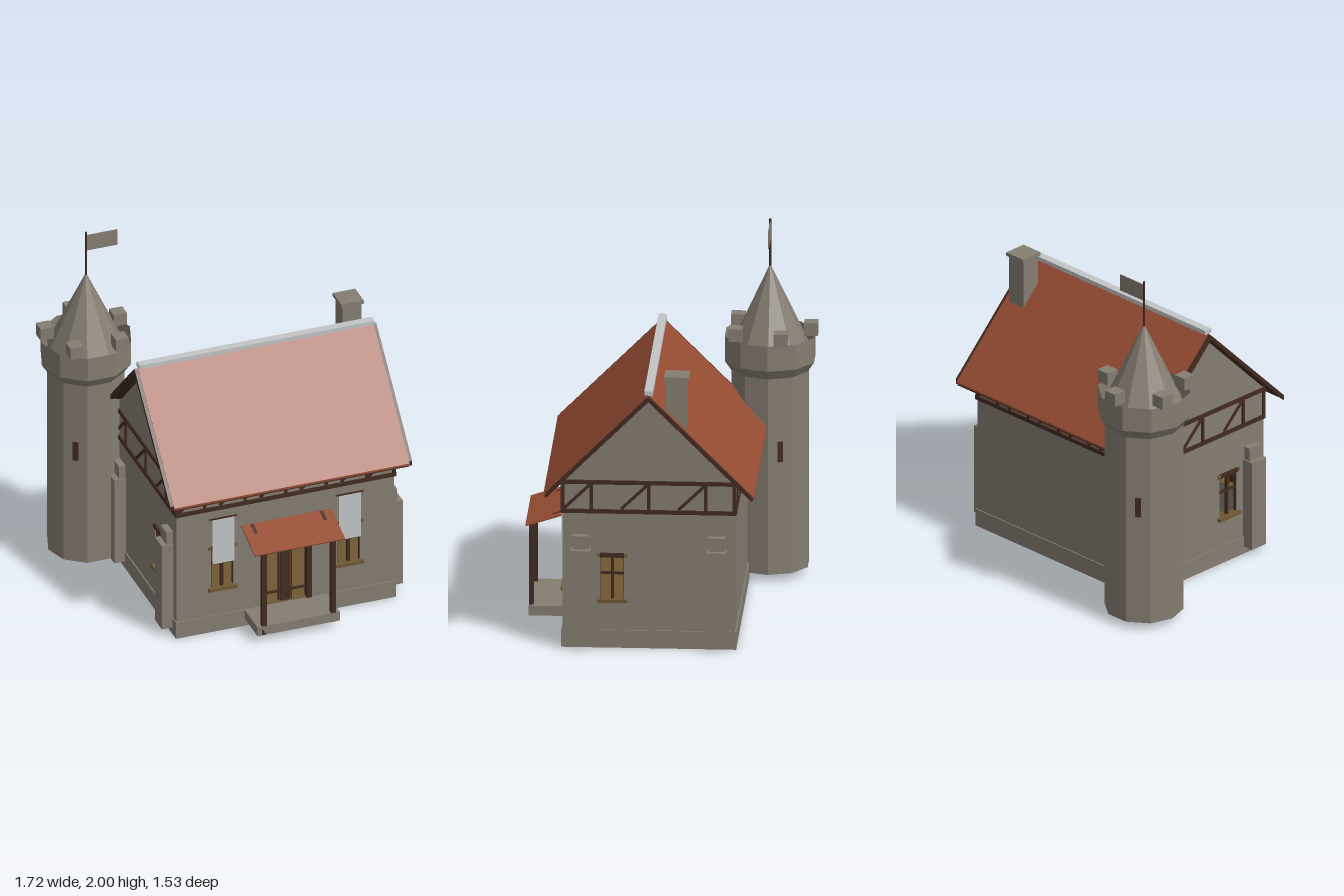
import * as THREE from 'three';

const mat = (name, color, side = THREE.FrontSide) => {
  const m = new THREE.MeshStandardMaterial({ color, side });
  m.name = name;
  return m;
};

export function createModel() {
  const model = new THREE.Group();
  model.name = 'cottageWithTower';
  const stone = mat('stone', 0x857d72);
  const shell = mat('towerStone', 0x857d72, THREE.DoubleSide);
  shell.flatShading = true;
  const tile = mat('roofTile', 0x964c33);
  const wood = mat('darkWood', 0x422a1f);
  const lightWood = mat('lightWood', 0x705732);
  const pale = mat('paleGrey', 0xc3c4c6);

  const add = (name, geo, m, parent = model) => {
    const mesh = new THREE.Mesh(geo, m);
    mesh.name = name;
    parent.add(mesh);
    return mesh;
  };
  // Box given by its minimum and maximum on each axis
  const box = (name, m, x0, x1, y0, y1, z0, z1, parent = model) => {
    const mesh = add(name, new THREE.BoxGeometry(x1 - x0, y1 - y0, z1 - z0), m, parent);
    mesh.position.set((x0 + x1) / 2, (y0 + y1) / 2, (z0 + z1) / 2);
    return mesh;
  };
  const group = (name, x = 0, y = 0, z = 0, turn = 0) => {
    const g = new THREE.Group();
    g.name = name;
    g.position.set(x, y, z);
    g.rotation.y = turn;
    model.add(g);
    return g;
  };
  const poly = (pts) => new THREE.Shape(pts.map(([x, y]) => new THREE.Vector2(x, y)));
  const hole = (shape, x0, x1, y0, y1) =>
    shape.holes.push(poly([[x0, y0], [x0, y1], [x1, y1], [x1, y0]]));
  const extrude = (shape, depth) => new THREE.ExtrudeGeometry(shape, { depth, bevelEnabled: false });
  // Extrudes a (z, y) profile from x0 to x1
  const across = (name, shape, m, x0, x1) => {
    const mesh = add(name, extrude(shape, x1 - x0), m);
    mesh.rotation.y = -Math.PI / 2;
    mesh.position.x = x1;
  };

  const X0 = -0.47, X1 = 0.785, Z0 = -0.395, Z1 = 0.54, CZ = 0.07;

  // Thin hollow plinth and floor
  const out = 0.007, inn = 0.005;
  box('plinthFront', stone, X0 - out, X1 + out, 0, 0.1, Z1 - inn, Z1 + out);
  box('plinthBack', stone, X0 - out, X1 + out, 0, 0.1, Z0 - out, Z0 + inn);
  box('plinthLeft', stone, X1 - inn, X1 + out, 0, 0.1, Z0 + inn, Z1 - inn);
  box('plinthRight', stone, X0 - out, X0 + inn, 0, 0.1, Z0 + inn, Z1 - inn);
  box('floor', lightWood, X0 + 0.002, X1 - 0.002, 0.094, 0.106, Z0 + 0.002, Z1 - 0.002);

  // Walls with door and window openings
  const front = poly([[X0, 0.1], [X1, 0.1], [X1, 0.94], [X0, 0.94]]);
  hole(front, 0.03, 0.295, 0.101, 0.515);
  const frontWindows = [-0.207, 0.523];
  frontWindows.forEach((x) => hole(front, x - 0.065, x + 0.065, 0.27, 0.525));
  add('frontWall', extrude(front, 0.03), stone).position.z = Z1 - 0.03;
  box('backWall', stone, X0, X1, 0.1, 0.94, Z0, Z0 + 0.03);
  const sideZ = 0.27;
  [[X1 - 0.03, X1], [X0, X0 + 0.03]].forEach(([a, b]) => {
    const gable = poly([[Z0, 0.1], [Z1, 0.1], [Z1, 0.945], [CZ, 1.418], [Z0, 0.947]]);
    hole(gable, sideZ - 0.065, sideZ + 0.065, 0.27, 0.525);
    across('gableWall', gable, stone, a, b);
  });

  // Windows
  const addWindow = (x, z, turn) => {
    const g = group('window', x, 0, z, turn);
    box('sill', lightWood, -0.082, 0.082, 0.258, 0.275, -0.03, 0.02, g);
    box('lintel', lightWood, -0.082, 0.082, 0.515, 0.533, -0.01, 0.009, g);
    box('frameTop', wood, -0.065, 0.065, 0.513, 0.537, -0.02, 0.011, g);
    box('mullion', wood, -0.008, 0.008, 0.275, 0.515, -0.02, -0.005, g);
    box('glazingBar', wood, -0.065, 0.065, 0.414, 0.426, -0.02, -0.005, g);
    for (const s of [-1, 1])
      box('frameSide', wood, s * 0.063 - 0.002, s * 0.063 + 0.002, 0.275, 0.515, -0.02, -0.005, g);
  };
  frontWindows.forEach((x) => addWindow(x, Z1, 0));
  addWindow(X1, sideZ, Math.PI / 2);
  addWindow(X0, sideZ, -Math.PI / 2);

  // Banners hanging over the front windows
  frontWindows.forEach((x) => {
    box('banner', pale, x - 0.062, x + 0.065, 0.43, 0.713, 0.552, 0.555);
    box('bannerRod', wood, x - 0.08, x + 0.08, 0.71, 0.717, 0.55, 0.557);
  });

  // Glazed double door
  box('doorLintel', wood, 0.01, 0.312, 0.505, 0.535, Z1 - 0.03, 0.55);
  [[0.014, 0.045], [0.278, 0.307]].forEach(([a, b]) =>
    box('doorJamb', wood, a, b, 0.1, 0.505, Z1 - 0.03, 0.548));
  box('doorMeetingStile', wood, 0.132, 0.187, 0.1, 0.505, 0.515, 0.535);
  [0.12, 0.194].forEach((x) => box('doorStile', wood, x, x + 0.005, 0.1, 0.505, 0.518, 0.53));
  [0.16, 0.436, 0.494].forEach((y) => box('doorRail', wood, 0.045, 0.278, y, y + 0.011, 0.518, 0.53));

  // Stepped buttresses on both sides
  [[X1, 1], [X0, -1]].forEach(([x, s]) => [0.439, -0.298].forEach((z) => {
    const step = (name, reach, y0, y1, half) =>
      box(name, stone, Math.min(x, x + s * reach), Math.max(x, x + s * reach), y0, y1, z - half, z + half);
    step('buttressLower', 0.068, 0.042, 0.565, 0.054);
    step('buttressUpper', 0.038, 0.565, 0.64, 0.045);
  }));

  // Timber framing band: beams, posts and braces on one wall
  const timberBand = (name, x, z, turn, half, posts) => {
    const g = group(name, x, 0, z, turn);
    [[0.763, 0.785], [0.928, 0.95]].forEach(([a, b]) => box('beam', wood, -half, half, a, b, -0.008, 0.01, g));
    const post = (p) => box('post', wood, p - 0.009, p + 0.009, 0.785, 0.928, -0.008, 0.009, g);
    const brace = (p) => {
      const b = box('brace', wood, -0.098, 0.098, -0.008, 0.008, -0.007, 0.007, g);
      b.position.set(p - 0.078, 0.857, 0);
      b.rotation.z = 0.77;
    };
    [-half + 0.009, ...posts, half - 0.009].forEach(post);
    posts.forEach(brace);
    if (posts.length > 3) brace(half - 0.009);
  };
  const midX = (X0 + X1) / 2, midZ = (Z0 + Z1) / 2;
  const longPosts = [-0.467, -0.233, 0, 0.233, 0.467];
  const sidePosts = [-0.31, 0, 0.31];
  timberBand('frontTimbers', midX, Z1, 0, 0.634, longPosts);
  timberBand('backTimbers', midX, Z0, Math.PI, 0.634, longPosts);
  timberBand('leftTimbers', X1, midZ, Math.PI / 2, 0.474, sidePosts);
  timberBand('rightTimbers', X0, midZ, -Math.PI / 2, 0.474, sidePosts);

  // Gabled roof with timber soffit, barge boards and ridge cap
  const chevron = (half, top, t) => poly([
    [CZ - half, top - half], [CZ - half, top - half - t], [CZ, top - t],
    [CZ + half, top - half - t], [CZ + half, top - half], [CZ, top]]);
  across('roofTiles', chevron(0.57, 1.454, 0.012), tile, -0.52, 0.838);
  across('roofSoffit', chevron(0.564, 1.442, 0.016), wood, -0.52, 0.838);
  across('bargeBoard', chevron(0.558, 1.45, 0.029), wood, 0.838, 0.856);
  across('bargeBoard', chevron(0.558, 1.45, 0.029), wood, -0.54, -0.52);
  box('ridgeCap', pale, -0.518, 0.838, 1.452, 1.476, CZ - 0.023, CZ + 0.023);

  // Chimney
  box('chimney', stone, 0.695, 0.805, 1.175, 1.535, -0.133, -0.022);
  box('chimneyCap', stone, 0.685, 0.815, 1.53, 1.55, -0.145, -0.012);

  // Porch
  box('porchStep', stone, -0.08, 0.395, 0.045, 0.1, Z1, 0.745);
  const slope = Math.atan2(0.07, 0.215);
  const porchRoof = box('porchRoof', tile, -0.1, 0.42, -0.004, 0.004, -0.113, 0.113);
  porchRoof.position.set(0.16, 0.598, 0.653);
  porchRoof.rotation.x = slope;
  [-0.04, 0.36].forEach((x) => {
    box('porchPost', wood, x - 0.014, x + 0.014, 0.045, 0.565, 0.72, 0.745);
    const rafter = box('porchRafter', wood, x - 0.009, x + 0.009, -0.009, 0.009, -0.102, 0.102);
    rafter.position.set(x, 0.594, 0.645);
    rafter.rotation.x = slope + 0.04;
  });

  // Ten-sided tower, open below, with an open flared crown
  const tower = group('tower', -0.605, 0, -0.507);
  const profile = [[0.217, 0.042], [0.217, 1.155], [0.254, 1.21], [0.254, 1.352]];
  add('towerBody', new THREE.LatheGeometry(profile.map(([r, y]) => new THREE.Vector2(r, y)), 10),
    shell, tower).rotation.y = Math.PI / 2;
  const spire = add('towerSpire', new THREE.ConeGeometry(0.218, 0.465, 10), shell, tower);
  spire.position.y = 1.28 + 0.465 / 2;
  spire.rotation.y = Math.PI / 2;
  for (let i = 0; i < 5; i++) {
    const a = -Math.PI / 2 + (i * Math.PI * 2) / 5;
    const merlon = box('merlon', stone, -0.038, 0.038, 1.348, 1.42, -0.038, 0.038, tower);
    merlon.position.x = Math.cos(a) * 0.222;
    merlon.position.z = Math.sin(a) * 0.222;
  }
  // Arrow slits
  [18, 126, 234, 342].forEach((deg) => {
    const a = THREE.MathUtils.degToRad(deg);
    const slit = box('arrowSlit', wood, -0.004, 0.004, 0.68, 0.795, -0.015, 0.015, tower);
    slit.position.x = Math.cos(a) * 0.207;
    slit.position.z = Math.sin(a) * 0.207;
    slit.rotation.y = -a;
  });
  // Flagpole and flag
  const pole = add('flagpole', new THREE.CylinderGeometry(0.006, 0.006, 0.28, 8), wood, tower);
  pole.position.y = 1.86;
  box('flag', stone, 0.004, 0.18, 1.885, 1.98, -0.003, 0.003, tower);

  return model;
}
